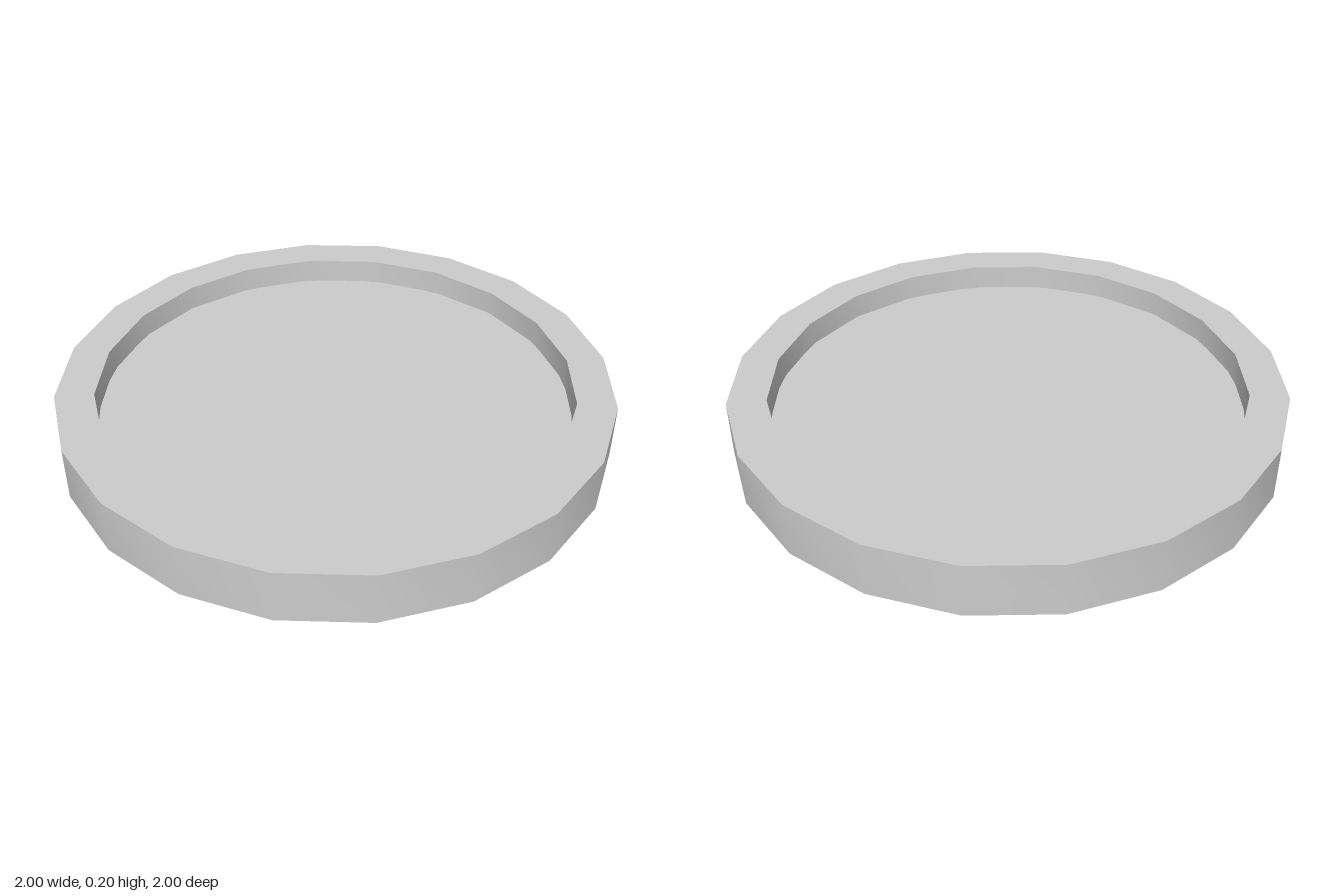
import * as THREE from 'three';
import { toCreasedNormals } from 'three/addons/utils/BufferGeometryUtils.js';

const SIDES = 20;
const OUTER = 1;
const INNER = 0.86;
const HEIGHT = 0.2;

// Corners of a regular polygon with one corner on the x axis
function polygon(radius, sides) {
  return Array.from({ length: sides }, (_, i) => {
    const a = (i / sides) * Math.PI * 2;
    return new THREE.Vector2(Math.cos(a) * radius, Math.sin(a) * radius);
  });
}

export function createModel() {
  const group = new THREE.Group();
  group.name = 'shallowRoundFrame';
  const material = new THREE.MeshStandardMaterial({ color: 0xcccccc });

  // Thick ring, open above and below, with smooth walls and sharp rims
  const shape = new THREE.Shape(polygon(OUTER, SIDES));
  shape.holes.push(new THREE.Path(polygon(INNER, SIDES)));
  const ringGeometry = new THREE.ExtrudeGeometry(shape, { depth: HEIGHT, bevelEnabled: false });
  ringGeometry.rotateX(-Math.PI / 2);
  const ring = new THREE.Mesh(toCreasedNormals(ringGeometry, 0.6), material);
  ring.name = 'rim';
  group.add(ring);

  // Thin disc set halfway up inside the ring
  const disc = new THREE.Mesh(new THREE.CylinderGeometry(INNER, INNER, 0.015, 24), material);
  disc.name = 'panel';
  disc.position.y = 0.098;
  group.add(disc);

  return group;
}
